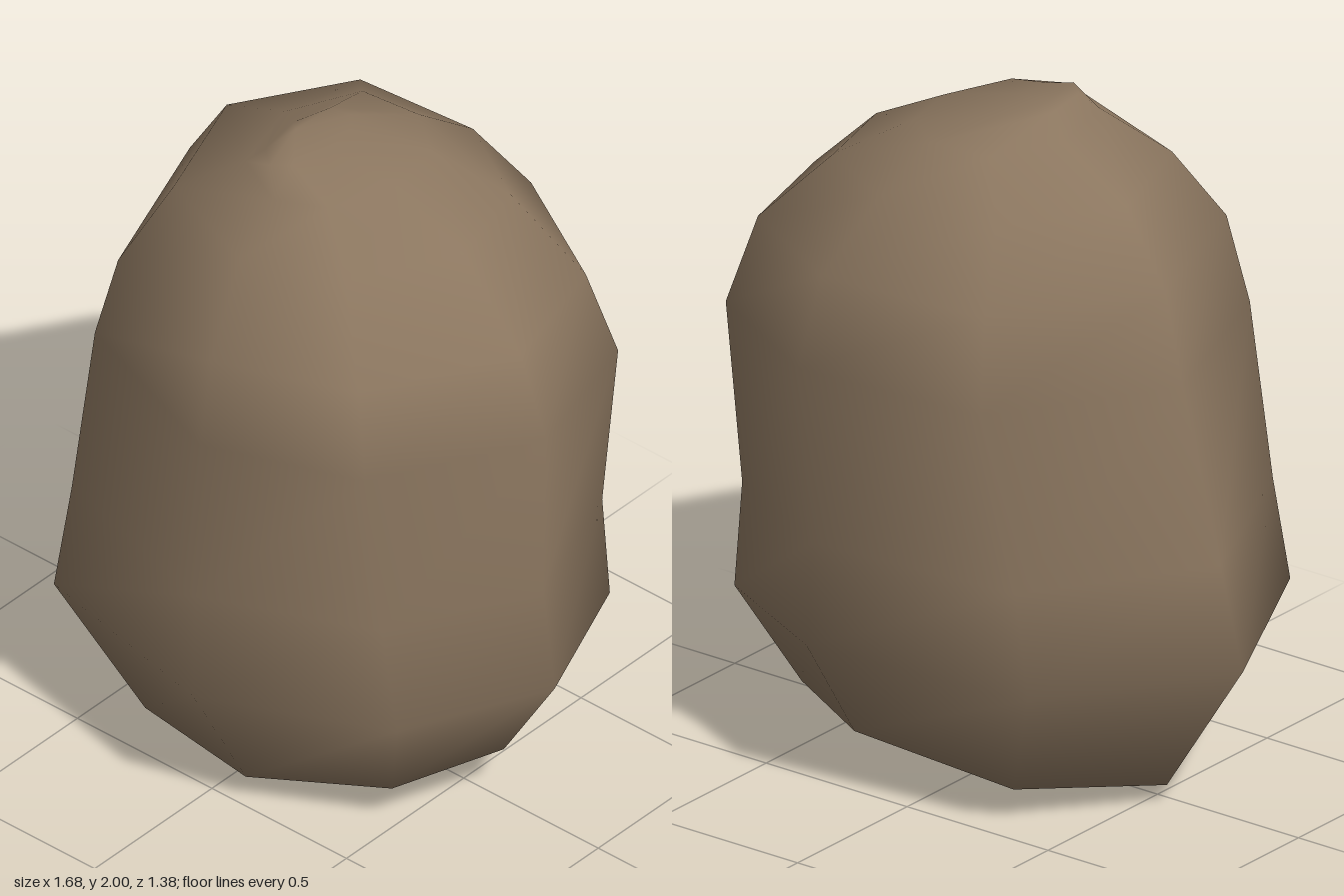
import * as THREE from 'three';

// Outline corners [x, z], from +x round through +z, at the foot and at the shoulder
const foot = [[0.84, 0], [0.64, 0.44], [0.1, 0.69], [-0.54, 0.55], [-0.84, -0.05], [-0.49, -0.58], [0.24, -0.65], [0.66, -0.44]];
const shoulder = [[0.815, 0.01], [0.56, 0.49], [0.1, 0.665], [-0.47, 0.46], [-0.69, -0.13], [-0.37, -0.64], [0.24, -0.69], [0.69, -0.44]];

// Cross-sections: height, foot-to-shoulder blend, x min, x max, z min, z max
const sections = [
  [0.11, 0, -0.56, 0.65, -0.46, 0.49],
  [0.48, 0, -0.84, 0.84, -0.65, 0.695],
  [0.8, 0.35, -0.785, 0.795, -0.65, 0.66],
  [1.34, 1, -0.69, 0.815, -0.69, 0.665],
  [1.6, 1, -0.61, 0.73, -0.61, 0.61],
  [1.82, 1, -0.47, 0.49, -0.47, 0.42],
  [1.94, 1, -0.22, 0.25, -0.3, 0.27],
  [1.985, 1, -0.13, 0.03, -0.13, 0.2],
];

// Fit the blended outline into the bounds of one cross-section
function ring([y, blend, x0, x1, z0, z1], tilt) {
  const pts = foot.map((p, i) => p.map((v, k) => THREE.MathUtils.lerp(v, shoulder[i][k], blend)));
  const xs = pts.map(p => p[0]), zs = pts.map(p => p[1]);
  const fit = (v, all, lo, hi) => THREE.MathUtils.mapLinear(v, Math.min(...all), Math.max(...all), lo, hi);
  return pts.map(p => {
    const x = fit(p[0], xs, x0, x1), z = fit(p[1], zs, z0, z1);
    return [x, y + tilt * (0.1 * x - 0.06 * z), z];
  });
}

function boulderGeometry() {
  const n = foot.length;
  // Only the underside leans
  const rings = sections.map((s, i) => ring(s, i === 0 ? 1 : 0));
  const positions = [...rings.flat(2), 0.11, 0, 0, -0.09, 2, 0.04];
  const bottom = n * rings.length, top = bottom + 1, last = bottom - n;
  const index = [];
  for (let i = 0; i < n; i++) {
    const j = (i + 1) % n;
    for (let r = 0; r < last; r += n) {
      index.push(r + i, r + n + i, r + j, r + j, r + n + i, r + n + j);
    }
    index.push(bottom, i, j, top, last + j, last + i);
  }
  const geometry = new THREE.BufferGeometry();
  geometry.setAttribute('position', new THREE.Float32BufferAttribute(positions, 3));
  geometry.setIndex(index);
  geometry.computeVertexNormals();
  return geometry;
}

export function createModel() {
  const group = new THREE.Group();
  group.name = 'rock';
  const stone = new THREE.MeshStandardMaterial({ color: 0x8b765f });
  stone.name = 'brown stone';
  const boulder = new THREE.Mesh(boulderGeometry(), stone);
  boulder.name = 'boulder';
  group.add(boulder);
  return group;
}
